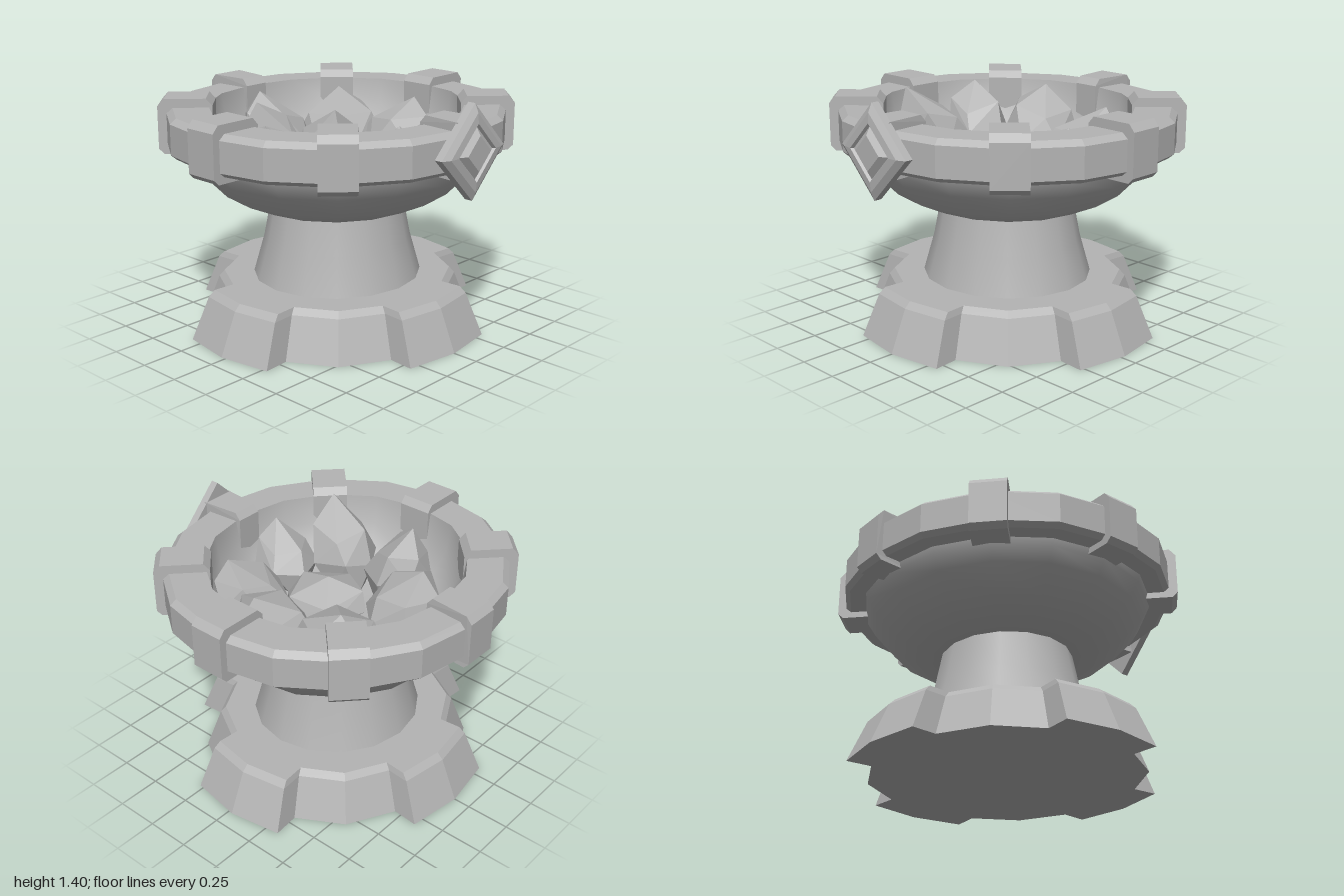
import * as THREE from 'three';
import { ConvexGeometry } from 'three/addons/geometries/ConvexGeometry.js';

const stone = new THREE.MeshStandardMaterial({ color: 0xb4b4b4 });
stone.name = 'grey stone';

function add(parent, geometry, name) {
  const mesh = new THREE.Mesh(geometry, stone);
  mesh.name = name;
  parent.add(mesh);
  return mesh;
}

function flat(geometry) {
  const g = geometry.toNonIndexed();
  g.computeVertexNormals();
  return g;
}

// Profile points are [radius, height]; rising profiles face outward
const lathe = (points, sides = 16) =>
  new THREE.LatheGeometry(points.map(([r, y]) => new THREE.Vector2(r, y)), sides);

// Foot outline: four projecting lobes with notched recesses between them
function footGeometry() {
  const outline = [];
  for (let q = 0; q < 4; q++) {
    for (const [deg, r] of [[0, 0.905], [20, 0.91], [23, 0.765], [45, 0.79], [67, 0.765], [70, 0.91]]) {
      const a = THREE.MathUtils.degToRad(deg + q * 90);
      outline.push([r * Math.sin(a), r * Math.cos(a)]);
    }
  }
  const levels = [[0, 0], [1, 0], [0.885, 0.235], [0.845, 0.27], [0, 0.27]];
  const n = outline.length, last = levels.length - 2, pos = [], index = [];
  for (const [s, y] of levels) for (const [x, z] of outline) pos.push(x * s, y, z * s);
  for (let l = 0; l <= last; l++) {
    for (let i = 0; i < n; i++) {
      const a = l * n + i, b = l * n + (i + 1) % n, c = b + n, d = a + n;
      if (l > 0) index.push(a, b, c);
      if (l < last) index.push(a, c, d);
    }
  }
  const g = new THREE.BufferGeometry();
  g.setAttribute('position', new THREE.Float32BufferAttribute(pos, 3));
  g.setIndex(index);
  return flat(g);
}

// Clasp: chamfered block wrapped round the rim, optionally narrower inside
function claspGeometry(width, innerScale) {
  const s = new THREE.Shape([
    [0.72, 1.0], [0.97, 1.0], [1.0, 1.03], [1.0, 1.27], [0.965, 1.31],
    [0.73, 1.31], [0.695, 1.27], [0.695, 1.03],
  ].map(([x, y]) => new THREE.Vector2(x, y)));
  const g = new THREE.ExtrudeGeometry(s, { depth: width, bevelEnabled: false });
  g.translate(0, 0, -width / 2);
  const p = g.attributes.position;
  for (let i = 0; i < p.count; i++) if (p.getX(i) < 0.9) p.setZ(i, p.getZ(i) * innerScale);
  g.computeVertexNormals();
  return g;
}

// Coal: leaning pointed lump, hull of jittered rings under an apex at (ax, top, az)
function coalGeometry(r, ax, az, top, random) {
  const pts = [new THREE.Vector3(ax, top, az)];
  const bottom = 0.84;
  const jitter = (k) => 1 + (random() - 0.5) * k;
  for (const [t, f, count] of [[0, 0.5, 4], [0.4, 1, 6], [0.7, 0.8, 5]]) {
    const turn = random() * 6.28;
    for (let i = 0; i < count; i++) {
      const a = turn + (i / count) * Math.PI * 2;
      pts.push(new THREE.Vector3(
        ax * (t - 0.4) + Math.cos(a) * r * f * jitter(0.2),
        bottom + (top - bottom) * t * jitter(0.25),
        az * (t - 0.4) + Math.sin(a) * r * f * jitter(0.2)));
    }
  }
  return new ConvexGeometry(pts);
}

export function createModel() {
  const model = new THREE.Group();
  model.name = 'brazier';

  // Turned body, slightly shallower than wide
  const body = new THREE.Group();
  body.name = 'body';
  body.scale.z = 0.96;
  body.position.z = -0.025;
  model.add(body);

  add(body, footGeometry(), 'foot').scale.z = 1.01;
  add(body, lathe([[0.495, 0.265], [0.43, 0.49], [0.385, 0.715]]), 'pedestal');
  add(body, lathe([[0.36, 0.71], [0.495, 0.71], [0.67, 0.79], [0.795, 0.92], [0.845, 1.0], [0.86, 1.05]]), 'bowlOutside');
  add(body, lathe([[0.74, 1.26], [0.715, 1.1], [0.63, 0.96], [0.5, 0.88], [0, 0.84]]), 'bowlInside');
  add(body, flat(lathe([[0.84, 1.035], [0.95, 1.035], [0.98, 1.06], [0.98, 1.23], [0.945, 1.26], [0.74, 1.26]])), 'rim');

  // Eight clasps around the rim, the front and back ones tapering inward
  const straight = claspGeometry(0.205, 1);
  const tapered = claspGeometry(0.195, 0.78);
  for (let i = 0; i < 8; i++) {
    const clasp = add(body, i % 4 === 2 ? tapered : straight, 'clasp');
    clasp.rotation.y = (i * Math.PI) / 4;
    if (i % 2) clasp.scale.x = 1.01;
  }

  // Diamond boss on the front
  const diamond = flat(lathe([
    [0, 0.89], [0.258, 0.89], [0.258, 0.935], [0.21, 0.957], [0.155, 0.962], [0.14, 0.948], [0.095, 0.975], [0, 0.975],
  ], 4));
  diamond.rotateX(Math.PI / 2);
  add(model, diamond, 'diamondBoss').position.y = 1.143;

  // Coals: centre x, z, radius, apex offset x, z, apex height
  let seed = 11;
  const random = () => (seed = (seed * 16807) % 2147483647) / 2147483647;
  const coals = new THREE.Group();
  coals.name = 'coals';
  model.add(coals);
  for (const [x, z, r, ax, az, top] of [
    [0.02, 0.04, 0.25, 0.0, -0.02, 1.12], [-0.1, -0.4, 0.22, -0.05, -0.1, 1.28],
    [0.33, -0.3, 0.25, 0.08, -0.1, 1.24], [-0.38, -0.16, 0.19, -0.07, -0.04, 1.305],
    [0.45, 0.05, 0.22, 0.11, 0.02, 1.22], [0.29, 0.37, 0.22, 0.08, 0.08, 1.22],
    [-0.1, 0.45, 0.18, -0.03, 0.1, 1.24], [-0.34, 0.2, 0.2, -0.08, 0.16, 1.345],
  ]) {
    add(coals, coalGeometry(r, ax, az, top, random), 'coal').position.set(x, 0, z);
  }
  return model;
}
